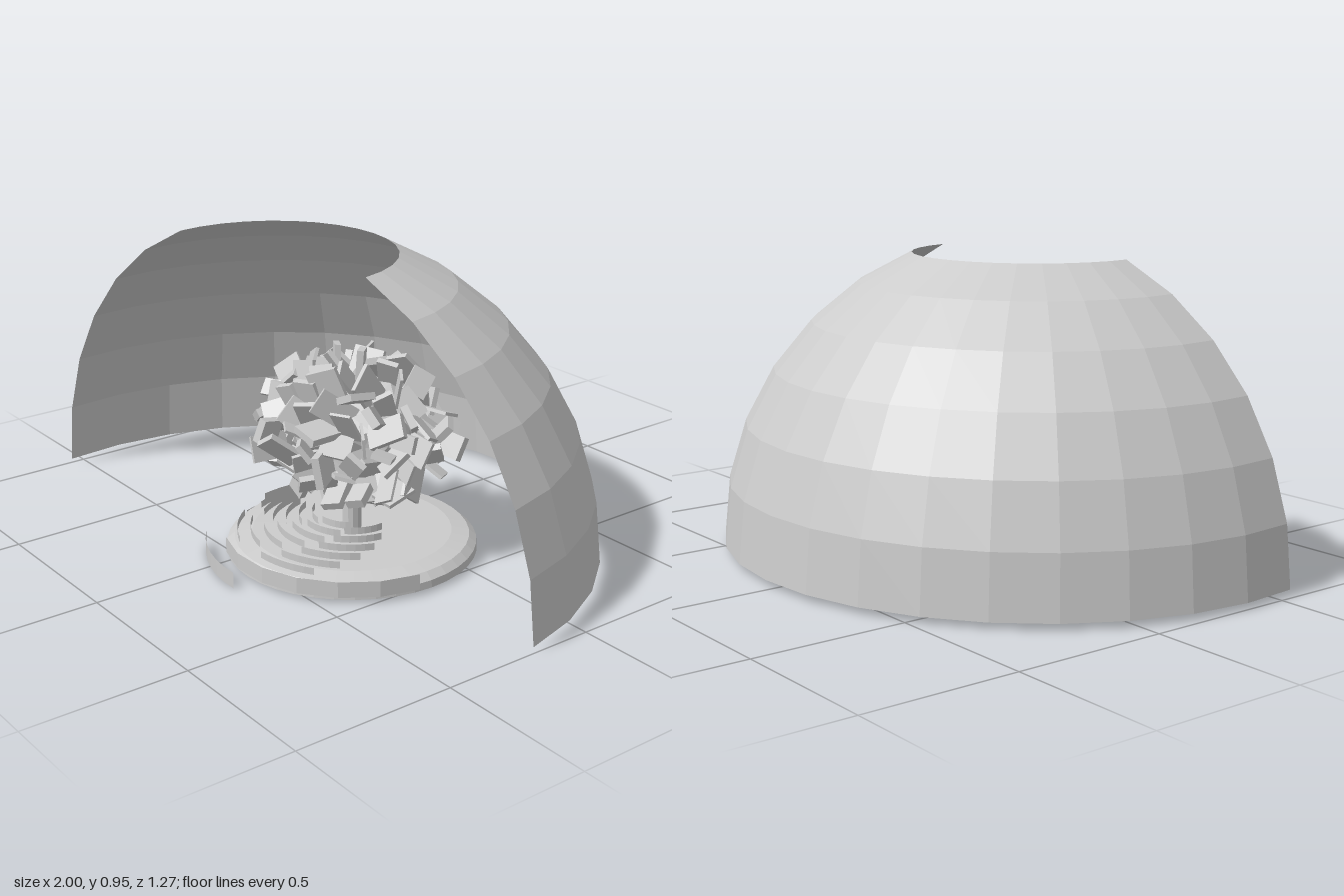
import * as THREE from 'three';

// Small seeded generator for the irregular parts
function seeded(seed) {
  return () => {
    seed = (seed * 16807) % 2147483647;
    return seed / 2147483647;
  };
}

export function createModel() {
  const model = new THREE.Group();
  const grey = new THREE.MeshStandardMaterial({ color: 0xcccccc, flatShading: true, side: THREE.DoubleSide });
  const rand = seeded(4711);
  const spread = (a) => (rand() * 2 - 1) * a;

  function add(name, geometry, parent = model) {
    const mesh = new THREE.Mesh(geometry, grey);
    mesh.name = name;
    parent.add(mesh);
    return mesh;
  }

  // Half dome shell with an open top, turned ten degrees
  const dome = add('domeShell', new THREE.SphereGeometry(
    1.008, 16, 6, Math.PI, Math.PI, Math.PI / 8, Math.PI * 3 / 8));
  dome.position.set(0.008, 0.02, 0.377);
  dome.rotation.y = THREE.MathUtils.degToRad(10);

  // Everything else stands around one upright axis
  const plant = new THREE.Group();
  plant.name = 'standAndCluster';
  plant.position.set(0.15, 0, 0.18);
  model.add(plant);

  // Shallow base saucer, hollow underneath
  const profile = [[0.355, 0.008], [0.39, 0.012], [0.388, 0.035], [0.365, 0.055], [0.31, 0.066], [0.02, 0.07]]
    .map(([r, y]) => new THREE.Vector2(r, y));
  add('baseSaucer', new THREE.LatheGeometry(profile, 40), plant);

  // Post
  const post = add('post', new THREE.CylinderGeometry(0.03, 0.03, 0.3, 12, 1, true), plant);
  post.position.y = 0.17;

  // Upright curved strips, stepping up towards the post
  const strips = new THREE.Group();
  strips.name = 'baseStrips';
  plant.add(strips);
  function strip(radius, bottom, height, start, length) {
    const s = add('baseStrip', new THREE.CylinderGeometry(
      radius, radius, height, 6, 1, true, start, length), strips);
    s.position.y = bottom + height / 2;
  }
  strip(0.455, 0, 0.052, -0.66, 0.7);
  strip(0.4, 0.01, 0.02, -1.9, 0.7);
  strip(0.395, 0.02, 0.05, -0.45, 1.9);
  for (let i = 0; i < 20; i++) {
    const t = i / 19;
    strip(0.37 - t * 0.26, 0.055 + t * 0.055, 0.022, -1.9 + ((i * 0.95) % 2.7), 0.55 + t * 0.4);
  }

  // Crumpled core of the cluster
  const cluster = new THREE.Group();
  cluster.name = 'crumpledCluster';
  cluster.position.set(0.01, 0.41, 0);
  plant.add(cluster);
  const core = new THREE.IcosahedronGeometry(1, 2);
  const p = core.attributes.position;
  for (let i = 0; i < p.count; i++) {
    const v = new THREE.Vector3().fromBufferAttribute(p, i);
    const k = 0.83 + 0.15 * Math.sin(v.x * 9 + v.y * 4) * Math.cos(v.z * 8 - v.y * 5);
    p.setXYZ(i, v.x * k * 0.26, v.y * k * 0.19, v.z * k * 0.22);
  }
  core.computeVertexNormals();
  add('clusterCore', core, cluster);

  // Loose tilted plates spread evenly over the cluster
  const count = 130;
  for (let i = 0; i < count; i++) {
    const y = 1 - 2 * (i + 0.5) / count;
    const r = Math.sqrt(1 - y * y);
    const a = i * 2.39996;
    const dir = new THREE.Vector3(Math.cos(a) * r, y, Math.sin(a) * r);
    const plate = add('clusterPlate', new THREE.BoxGeometry(
      0.05 + rand() * 0.05, 0.07 + rand() * 0.06, 0.008 + rand() * 0.02), cluster);
    const reach = 0.72 + rand() * 0.24;
    plate.position.set(dir.x * 0.33 * reach, dir.y * 0.225 * reach, dir.z * 0.275 * reach);
    plate.quaternion.setFromUnitVectors(new THREE.Vector3(0, 1, 0), dir);
    plate.rotateY(rand() * Math.PI * 2);
    plate.rotateX(spread(0.9));
    plate.rotateZ(spread(0.5));
  }
  return model;
}
